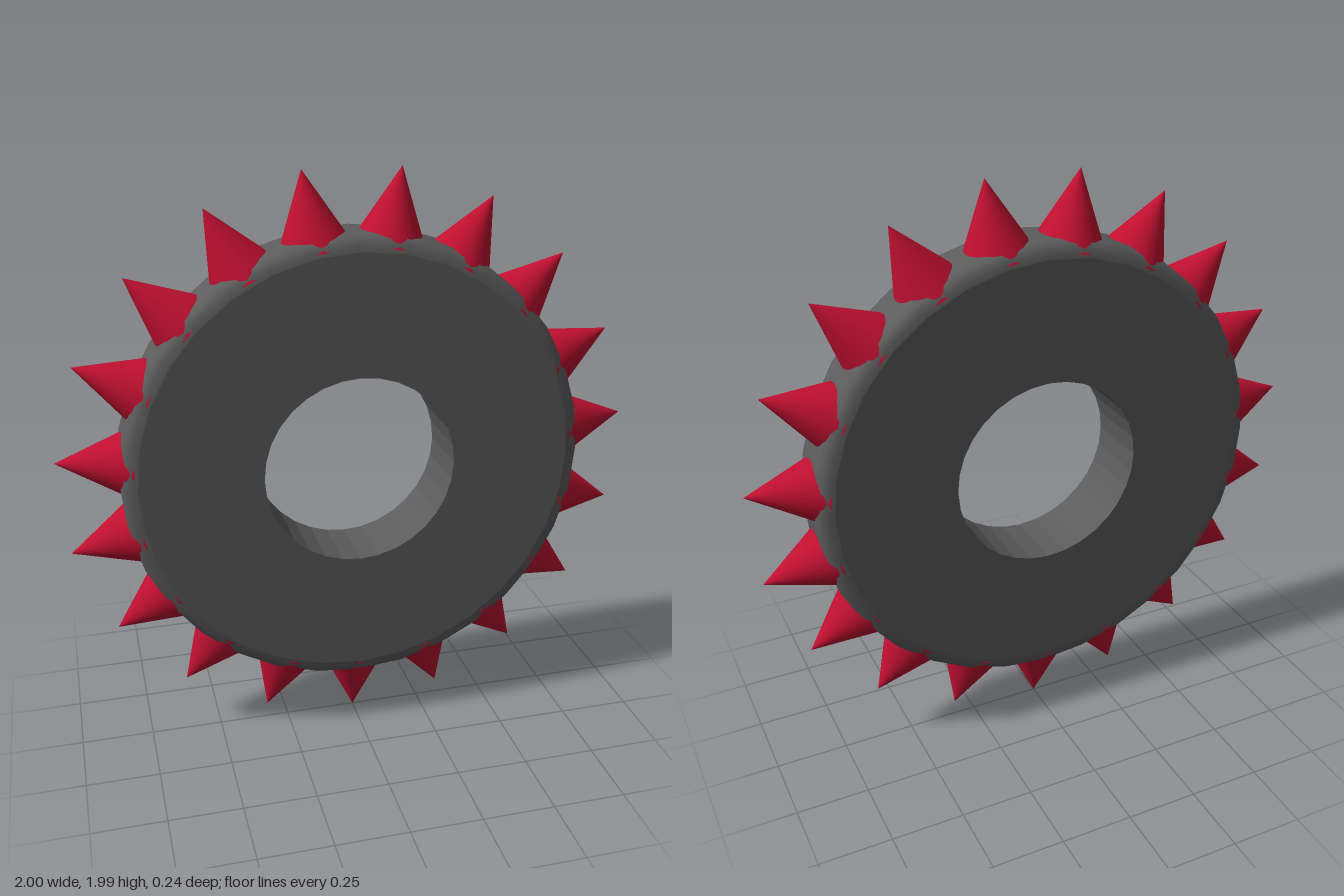
import * as THREE from 'three';

const SPIKES = 19;
const TIP_R = 1.003;    // radius reached by the spike tips
const BASE_R = 0.755;   // radius at which the spike bases sit
const HALF = 0.12;      // half thickness of the disc
const FACE_R = 0.745;   // where the flat face turns into the rounded rim
const HOLE_R = 0.33;
const SEGMENTS = 32;

export function createModel() {
  const model = new THREE.Group();
  model.name = 'spikedWheel';

  const grey = new THREE.MeshStandardMaterial({ color: 0x5c5c5c });
  const greyFlat = new THREE.MeshStandardMaterial({ color: 0x5c5c5c, flatShading: true });
  const red = new THREE.MeshStandardMaterial({ color: 0xc01030 });

  const wheel = new THREE.Group();
  wheel.name = 'wheel';
  wheel.position.y = TIP_R;
  model.add(wheel);

  const add = (geometry, material, name) => {
    const mesh = new THREE.Mesh(geometry, material);
    mesh.name = name;
    wheel.add(mesh);
    return mesh;
  };
  // Revolve [radius, depth] points around the z axis
  const revolve = (points) =>
    new THREE.LatheGeometry(points.map(([r, d]) => new THREE.Vector2(r, d)), SEGMENTS).rotateX(Math.PI / 2);

  // Rounded outer rim, mirrored across the middle
  const edge = [[FACE_R, HALF], [0.77, 0.115], [0.79, 0.1], [0.798, 0.075]];
  const back = edge.map(([r, d]) => [r, -d]);
  add(revolve([...back, ...edge.reverse()]), grey, 'rim');

  // Faceted wall of the centre hole
  add(revolve([[HOLE_R, HALF], [HOLE_R, -HALF]]), greyFlat, 'holeWall');

  // Flat ring faces
  const ring = new THREE.RingGeometry(HOLE_R, FACE_R, SEGMENTS);
  add(ring, grey, 'frontFace').position.z = HALF;
  const backFace = add(ring, grey, 'backFace');
  backFace.position.z = -HALF;
  backFace.rotation.y = Math.PI;

  // Ring of spikes, the first one pointing straight down
  const length = TIP_R - BASE_R;
  const spike = new THREE.ConeGeometry(0.12, length, SEGMENTS).translate(0, BASE_R + length / 2, 0);
  for (let i = 0; i < SPIKES; i++) {
    add(spike, red, `spike${i + 1}`).rotation.z = Math.PI + (i / SPIKES) * Math.PI * 2;
  }
  return model;
}
